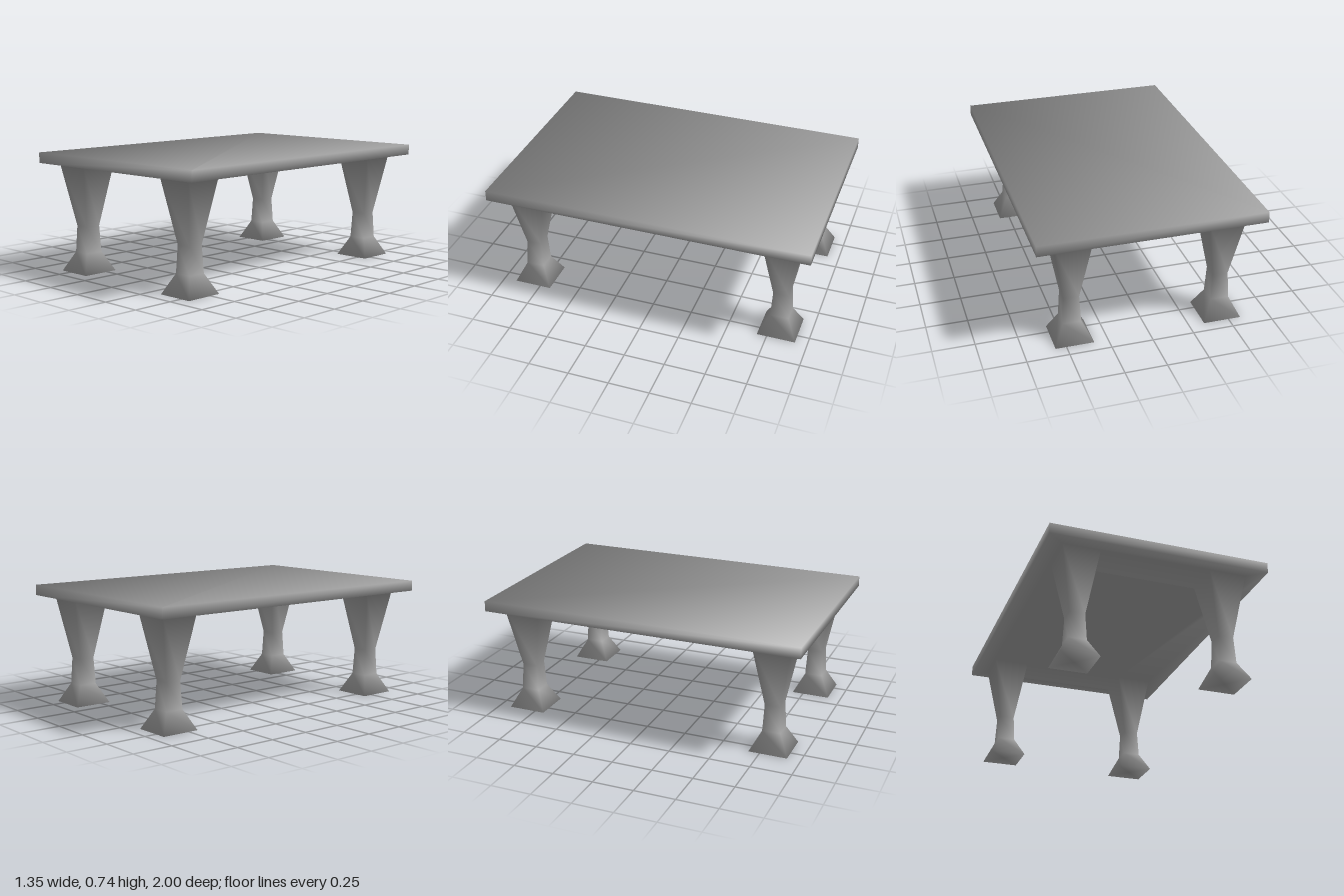
import * as THREE from 'three';
import { mergeGeometries, mergeVertices } from 'three/addons/utils/BufferGeometryUtils.js';

const LEG_X = 0.115, LEG_Z = 0.118, UNDERSIDE = 0.675, TOP = 0.74;
const LEGS = [
  { name: 'frontRightLeg', x: -0.46, z: 0.8 },
  { name: 'frontLeftLeg', x: 0.45, z: 0.8 },
  { name: 'backRightLeg', x: -0.46, z: -0.807 },
  { name: 'backLeftLeg', x: 0.45, z: -0.807 },
];

// Corners of an axis-aligned rectangle
const rectangle = (x, z, halfX, halfZ) => [[-1, -1], [1, -1], [1, 1], [-1, 1]]
  .map(([i, j]) => new THREE.Vector2(x + i * halfX, z + j * halfZ));

// Top and rim of the slab, without its lower face
function slab() {
  const box = new THREE.BoxGeometry(2, TOP - UNDERSIDE, 1.35);
  box.setIndex([...box.index.array].filter((_, i) => i < 18 || i >= 24));
  return box.rotateY(Math.PI / 2).translate(0, (TOP + UNDERSIDE) / 2, 0);
}

// Lower face of the slab, open where the legs grow out of it
function underside() {
  const shape = new THREE.Shape(rectangle(0, 0, 0.675, 1));
  shape.holes = LEGS.map(({ x, z }) => new THREE.Path(rectangle(x, z, LEG_X, LEG_Z)));
  return new THREE.ShapeGeometry(shape).rotateX(Math.PI / 2).translate(0, UNDERSIDE, 0);
}

// Square leg: flared foot, narrow waist, widening to the top [half width, y]
function leg({ x, z }) {
  const profile = [[0, 0], [LEG_X, 0], [0.055, 0.12], [0.047, 0.285], [LEG_X, UNDERSIDE]]
    .map(([half, y]) => new THREE.Vector2(half * Math.SQRT2, y));
  return new THREE.LatheGeometry(profile, 4, Math.PI / 4)
    .scale(1, 1, LEG_Z / LEG_X).translate(x, 0, z);
}

// Smooth normals, each face weighted by its angle at the corner
function smoothNormals(geometry) {
  const { position, } = geometry.attributes;
  const index = geometry.index.array;
  const sums = Array.from({ length: position.count }, () => new THREE.Vector3());
  const triangle = new THREE.Triangle(), normal = new THREE.Vector3();
  for (let i = 0; i < index.length; i += 3) {
    const ids = [index[i], index[i + 1], index[i + 2]];
    triangle.setFromAttributeAndIndices(position, ...ids);
    triangle.getNormal(normal);
    const corners = [triangle.a, triangle.b, triangle.c];
    corners.forEach((corner, k) => {
      const u = corners[(k + 1) % 3].clone().sub(corner);
      const v = corners[(k + 2) % 3].clone().sub(corner);
      sums[ids[k]].addScaledVector(normal, u.angleTo(v));
    });
  }
  const flat = sums.flatMap((sum) => sum.normalize().toArray());
  geometry.setAttribute('normal', new THREE.Float32BufferAttribute(flat, 3));
}

export function createModel() {
  const group = new THREE.Group();
  group.name = 'table';
  const material = new THREE.MeshStandardMaterial({ color: 0xa0a0a0 });

  const parts = [
    { name: 'tabletop', geometry: slab() },
    { name: 'tabletopUnderside', geometry: underside() },
    ...LEGS.map((place) => ({ name: place.name, geometry: leg(place) })),
  ];

  // Weld all parts so the shading flows from the slab into the legs
  for (const { geometry } of parts) {
    geometry.deleteAttribute('normal');
    geometry.deleteAttribute('uv');
  }
  const welded = mergeVertices(mergeGeometries(parts.map((part) => part.geometry)), 1e-4);
  smoothNormals(welded);

  // Cut the welded surface back into named parts
  let start = 0;
  for (const { name, geometry } of parts) {
    const end = start + geometry.index.count;
    const piece = welded.clone().setIndex([...welded.index.array.slice(start, end)]);
    const mesh = new THREE.Mesh(piece.toNonIndexed(), material);
    mesh.name = name;
    group.add(mesh);
    start = end;
  }
  return group;
}
